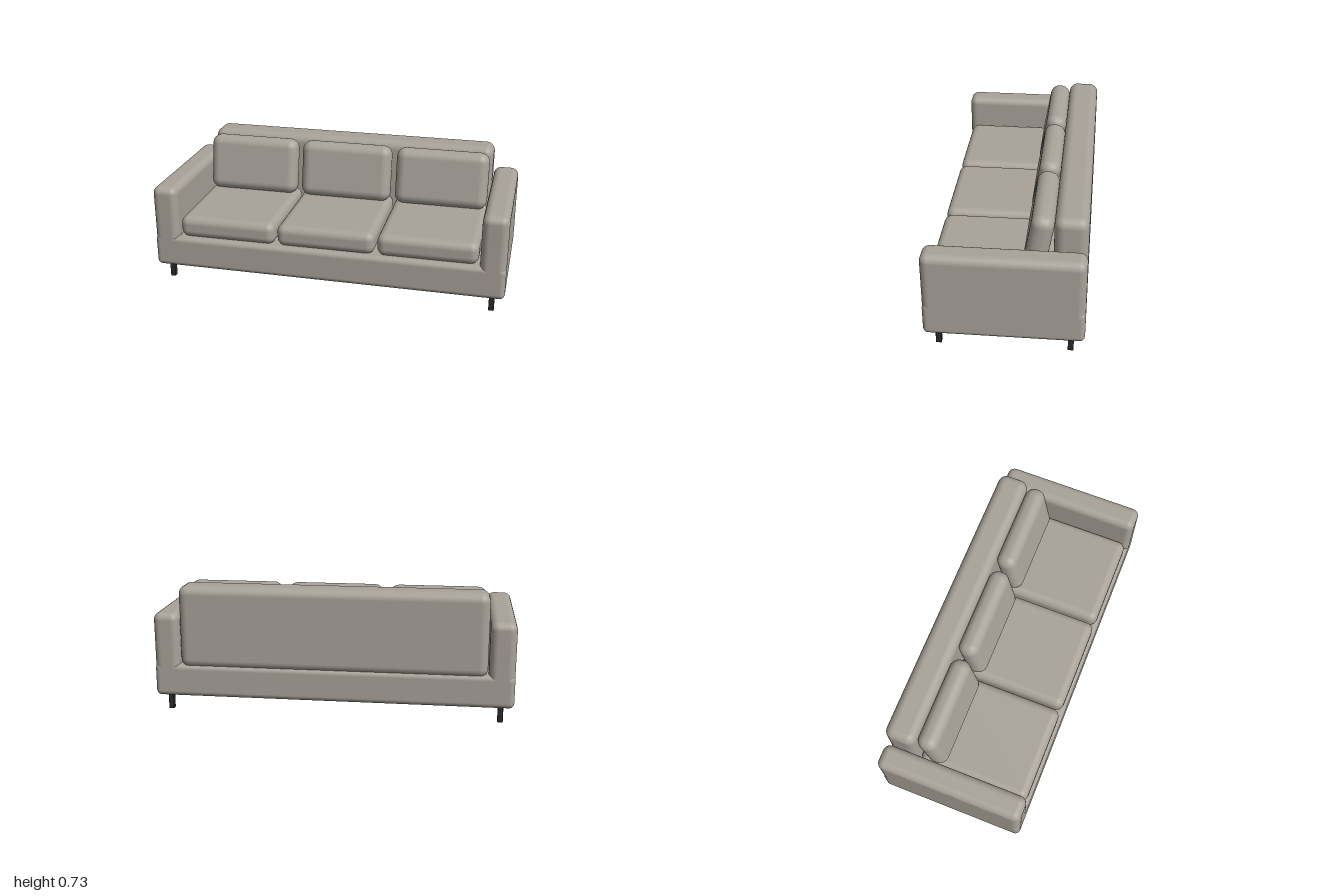
import * as THREE from 'three';
import { RoundedBoxGeometry } from 'three/addons/geometries/RoundedBoxGeometry.js';

export function createModel() {
  const sofa = new THREE.Group();
  sofa.name = 'sofa';

  const fabric = new THREE.MeshStandardMaterial({ color: 0xa8a299 });
  fabric.name = 'warm grey fabric';
  const legBlack = new THREE.MeshStandardMaterial({ color: 0x2b2b2b });
  legBlack.name = 'black leg';

  // Rounded block given by size, corner radius and centre
  function block(name, [w, h, d], radius, [x, y, z], material = fabric) {
    const mesh = new THREE.Mesh(new RoundedBoxGeometry(w, h, d, 4, radius), material);
    mesh.name = name;
    mesh.position.set(x, y, z);
    sofa.add(mesh);
    return mesh;
  }

  // Frame
  block('base', [2, 0.185, 0.834], 0.03, [0, 0.1875, 0]);
  block('backrest', [1.706, 0.468, 0.176], 0.05, [0, 0.494, -0.329]);

  // Arms and legs, mirrored
  for (const [side, s] of [['left', 1], ['right', -1]]) {
    block(side + 'Arm', [0.143, 0.423, 0.834], 0.042, [s * 0.9285, 0.3615, 0]);
    for (const [end, e] of [['Front', 1], ['Back', -1]]) {
      block(side + end + 'Leg', [0.03, 0.1, 0.03], 0.003, [s * 0.93, 0.05, e * 0.345], legBlack);
    }
  }

  // Three seat cushions with leaning back cushions
  for (const [place, x] of [['right', -0.57], ['middle', 0], ['left', 0.57]]) {
    block(place + 'SeatCushion', [0.556, 0.126, 0.64], 0.045, [x, 0.338, 0.08]);
    const cushion = block(place + 'BackCushion', [0.54, 0.33, 0.12], 0.055, [x, 0.555, -0.162]);
    cushion.rotation.x = -0.175;
  }

  return sofa;
}
